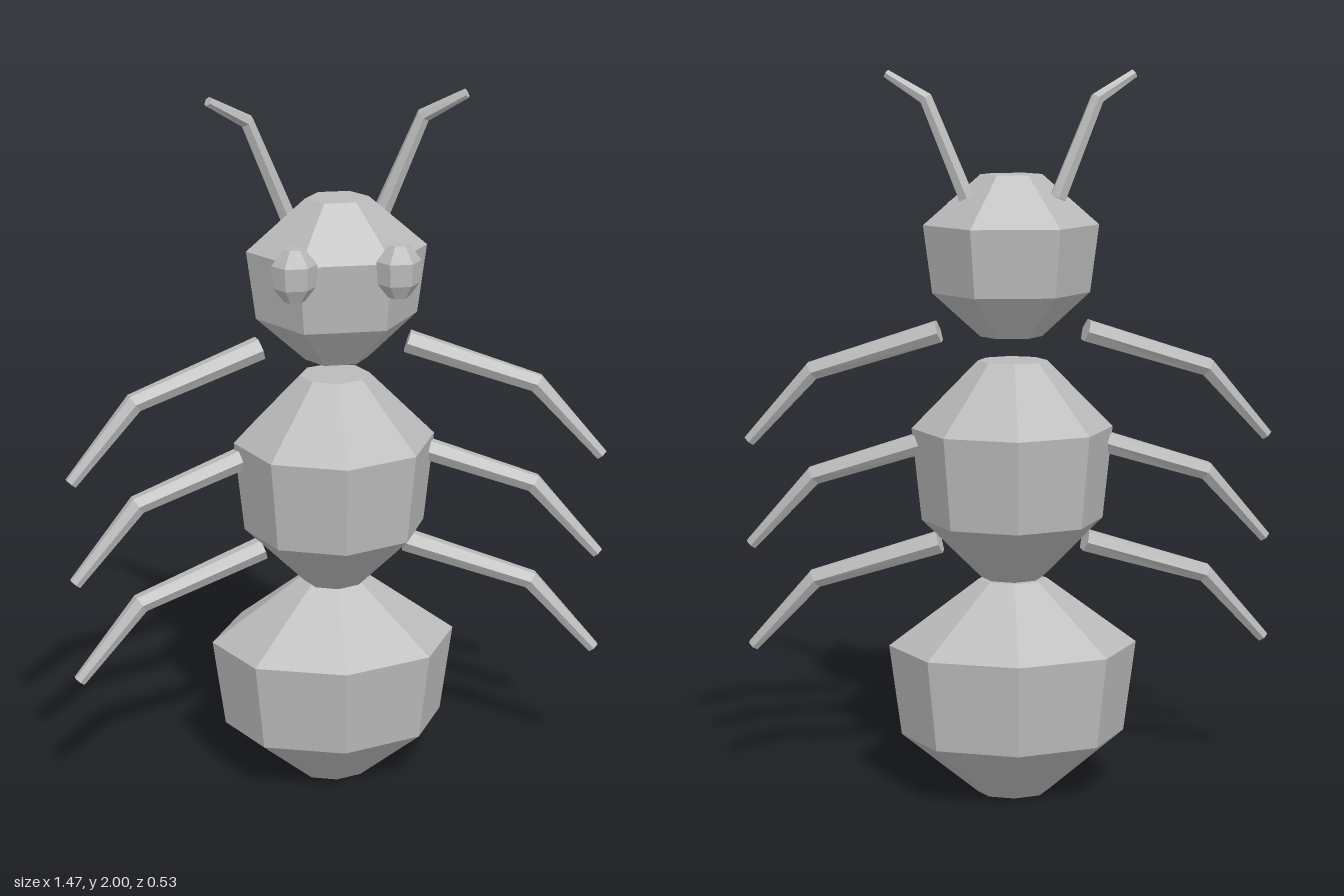
import * as THREE from 'three';

const grey = new THREE.MeshStandardMaterial({ color: 0xbbbbbb, flatShading: true });
grey.name = 'plain grey';

function addMesh(parent, name, geometry) {
  const flat = geometry.toNonIndexed();
  flat.computeVertexNormals();
  const mesh = new THREE.Mesh(flat, grey);
  mesh.name = name;
  parent.add(mesh);
  return mesh;
}

// Closed faceted body from [radius, y] rings, listed bottom to top, squashed in z
function bodyGeometry(rings, sides, depth) {
  const points = [[0, rings[0][1]], ...rings, [0, rings[rings.length - 1][1]]]
    .map(([r, y]) => new THREE.Vector2(r, y));
  return new THREE.LatheGeometry(points, sides, Math.PI / 2).scale(1, 1, depth);
}

// Tapered, jointed limb through a few points, with capped ends
function limbGeometry(points, radii, sides = 6) {
  const positions = [], index = [];
  const last = points.length - 1;
  const front = new THREE.Vector3(0, 0, 1);
  points.forEach((p, i) => {
    const before = p.clone().sub(points[Math.max(i - 1, 0)]).normalize();
    const after = points[Math.min(i + 1, last)].clone().sub(p).normalize();
    const t = before.add(after).normalize();
    const u = front.clone().addScaledVector(t, -front.dot(t)).normalize();
    const v = t.clone().cross(u);
    for (let j = 0; j < sides; j++) {
      const a = (j / sides) * Math.PI * 2;
      const q = p.clone()
        .addScaledVector(u, Math.cos(a) * radii[i])
        .addScaledVector(v, Math.sin(a) * radii[i]);
      positions.push(q.x, q.y, q.z);
    }
  });
  for (let i = 0; i < last; i++) {
    for (let j = 0; j < sides; j++) {
      const a = i * sides + j, b = i * sides + (j + 1) % sides;
      index.push(a, b, b + sides, a, b + sides, a + sides);
    }
  }
  for (let j = 1; j < sides - 1; j++) {
    const e = last * sides;
    index.push(0, j + 1, j, e, e + j, e + j + 1);
  }
  const geometry = new THREE.BufferGeometry();
  geometry.setAttribute('position', new THREE.Float32BufferAttribute(positions, 3));
  geometry.setIndex(index);
  return geometry;
}

export function createModel() {
  const ant = new THREE.Group();
  ant.name = 'ant';

  // Three body sections
  addMesh(ant, 'abdomen', bodyGeometry(
    [[0.1, 0], [0.31, 0.17], [0.343, 0.425], [0.095, 0.61]], 8, 0.75)).position.z = -0.008;
  addMesh(ant, 'thorax', bodyGeometry(
    [[0.085, 0.61], [0.25, 0.775], [0.276, 1.03], [0.095, 1.215]], 8, 0.885)).position.z = 0.013;
  addMesh(ant, 'head', bodyGeometry(
    [[0.085, 1.275], [0.216, 1.395], [0.24, 1.58], [0.084, 1.717]], 6, 0.8)).position.z = 0.057;

  for (const side of [1, -1]) {
    const label = side > 0 ? 'left' : 'right';
    const path = (list, dy = 0) => list.map(([x, y, z]) => new THREE.Vector3(side * x, y + dy, z));

    // Eyes
    addMesh(ant, label + 'Eye', bodyGeometry(
      [[0.027, -0.07], [0.055, -0.033], [0.059, 0.027], [0.027, 0.07]], 6, 0.75))
      .position.set(side * 0.135, 1.563, 0.229);

    // Antennae
    addMesh(ant, label + 'Antenna', limbGeometry(
      path([[0.123, 1.655, 0.012], [0.23, 1.92, 0.033], [0.334, 1.985, 0.08]]),
      [0.024, 0.02, 0.013]));

    // Three legs per side
    ['front', 'middle', 'rear'].forEach((row, i) => {
      addMesh(ant, label + row[0].toUpperCase() + row.slice(1) + 'Leg', limbGeometry(
        path([[0.2, 1.297, 0.007], [0.545, 1.183, 0.075], [0.722, 0.982, 0.122]], -0.292 * i),
        [0.033, 0.028, 0.018]));
    });
  }
  return ant;
}
